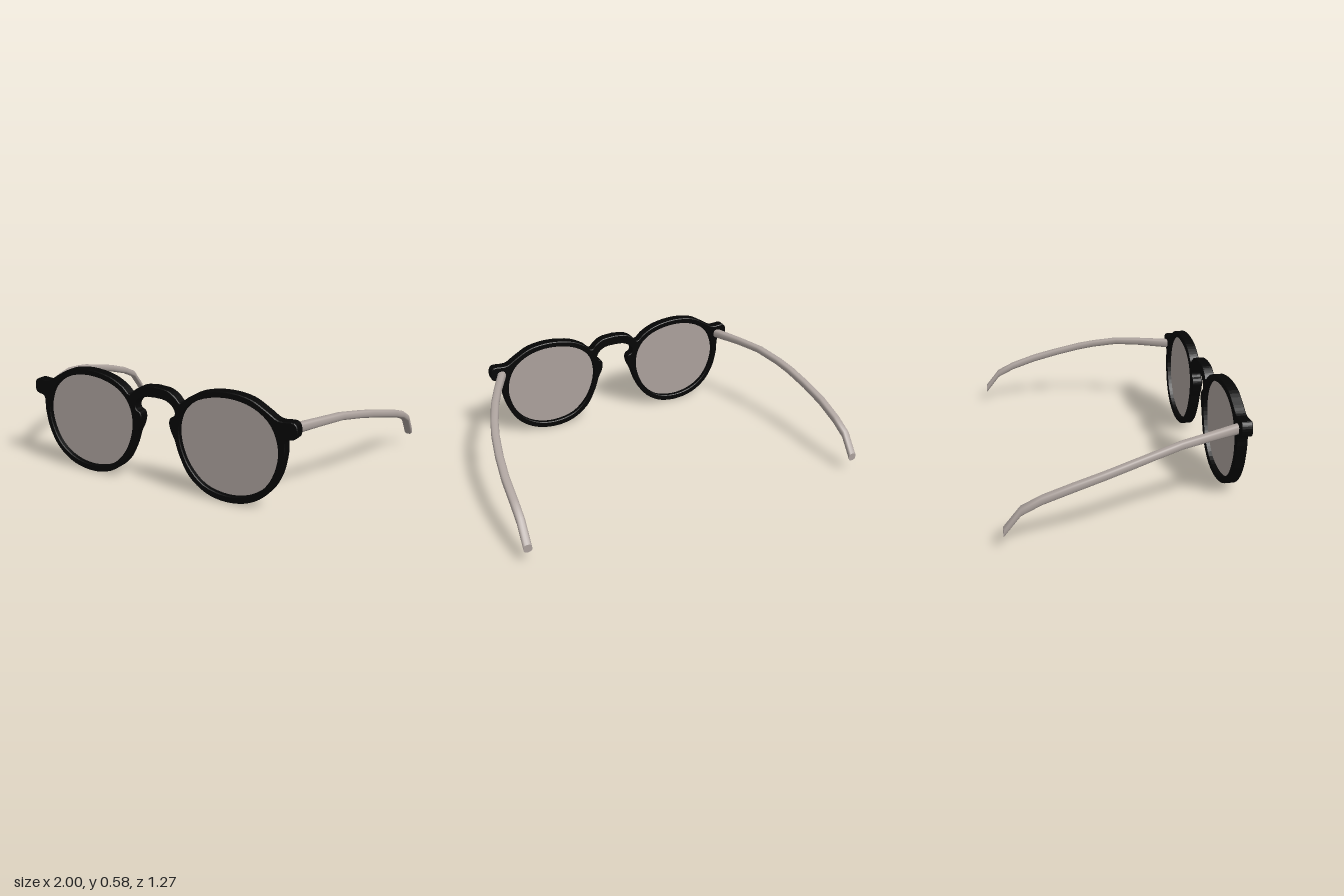
import * as THREE from 'three';

const frameMat = new THREE.MeshStandardMaterial({ color: 0x050505 });
frameMat.name = 'black frame';
const greyMat = new THREE.MeshStandardMaterial({ color: 0xaca29d });
greyMat.name = 'warm grey';

// right half of the front outline, from the bridge top round to the bridge underside
const OUTLINE = [
  [0, 0.55], [0.08, 0.54], [0.125, 0.513], [0.155, 0.485], [0.2, 0.522], [0.28, 0.563],
  [0.42, 0.585], [0.55, 0.568], [0.64, 0.52], [0.70, 0.485], [0.78, 0.485], [0.797, 0.465],
  [0.797, 0.415], [0.78, 0.402], [0.742, 0.39], [0.736, 0.31], [0.71, 0.195], [0.65, 0.095],
  [0.55, 0.026], [0.42, 0.002], [0.3, 0.026], [0.2, 0.1], [0.14, 0.21], [0.115, 0.285],
  [0.097, 0.32], [0.085, 0.365], [0.092, 0.395], [0.115, 0.41], [0.12, 0.432], [0.10, 0.465],
  [0.06, 0.487], [0, 0.492],
];

// lens opening on the +x side
const LENS = [
  [0.42, 0.038], [0.29, 0.068], [0.2, 0.155], [0.153, 0.265], [0.146, 0.36], [0.177, 0.45],
  [0.26, 0.519], [0.42, 0.553], [0.565, 0.525], [0.66, 0.45], [0.701, 0.33], [0.683, 0.215],
  [0.63, 0.122], [0.54, 0.06],
];

// smooth list of points through a profile, optionally mirrored in x
function smooth(points, closed, count, side = 1) {
  const curve = new THREE.CatmullRomCurve3(
    points.map(([x, y]) => new THREE.Vector3(x * side, y, 0)), closed, 'centripetal');
  const list = curve.getPoints(count).map((p) => new THREE.Vector2(p.x, p.y));
  if (closed) list.pop();
  return list;
}

function makeFrame() {
  const half = smooth(OUTLINE, false, 124);
  const mirrored = half.slice(1, -1).reverse().map((p) => new THREE.Vector2(-p.x, p.y));
  // counter-clockwise outline, so that the extrusion turns the holes the right way
  const shape = new THREE.Shape([...half, ...mirrored].reverse());
  for (const side of [1, -1]) shape.holes.push(new THREE.Path(smooth(LENS, true, 56, side)));
  const geo = new THREE.ExtrudeGeometry(shape, {
    depth: 0.052, bevelEnabled: true, bevelThickness: 0.004, bevelSize: 0.004,
    bevelOffset: -0.004, bevelSegments: 1,
  });
  geo.translate(0, 0, 0.579);
  const mesh = new THREE.Mesh(geo, frameMat);
  mesh.name = 'frontFrame';
  return mesh;
}

function makeLens(side) {
  // slightly oversized so the edge sits inside the rim
  const pts = smooth(LENS, true, 56, side).map((p) => new THREE.Vector2(
    side * 0.42 + (p.x - side * 0.42) * 1.03, 0.3 + (p.y - 0.3) * 1.03));
  const geo = new THREE.ExtrudeGeometry(new THREE.Shape(pts), { depth: 0.008, bevelEnabled: false });
  geo.translate(0, 0, 0.601);
  const mesh = new THREE.Mesh(geo, greyMat);
  mesh.name = side > 0 ? 'leftLens' : 'rightLens';
  return mesh;
}

// temple stations: z, centre x, centre y, half width, half height
const STATIONS = [
  [0.59, 0.73, 0.43, 0.026, 0.028], [0.4, 0.81, 0.429, 0.024, 0.023],
  [0.25, 0.867, 0.424, 0.024, 0.021], [0.1, 0.913, 0.398, 0.023, 0.021],
  [0, 0.937, 0.376, 0.023, 0.022], [-0.15, 0.961, 0.337, 0.023, 0.022],
  [-0.3, 0.975, 0.296, 0.023, 0.023], [-0.45, 0.977, 0.246, 0.023, 0.023],
  [-0.55, 0.977, 0.197, 0.023, 0.023], [-0.635, 0.977, 0.092, 0.023, 0.023],
];

function makeTemple(side) {
  const N = 16, pos = [], idx = [];
  // rounded-square section
  const soft = (v) => Math.sign(v) * Math.abs(v) ** 0.75;
  for (const [z, x, y, w, h] of STATIONS) {
    for (let i = 0; i < N; i++) {
      const a = (i / N) * Math.PI * 2;
      pos.push(side * (x + w * soft(Math.cos(a))), y + h * soft(Math.sin(a)), z);
    }
  }
  const tri = (a, b, c) => (side > 0 ? idx.push(a, b, c) : idx.push(a, c, b));
  const last = STATIONS.length - 1;
  for (let s = 0; s < last; s++) {
    for (let i = 0; i < N; i++) {
      const a = s * N + i, b = s * N + (i + 1) % N;
      tri(a, a + N, b);
      tri(b, a + N, b + N);
    }
  }
  // flat caps with their own corners, front then rear
  for (const s of [0, last]) {
    const base = pos.length / 3;
    for (let i = 0; i < N * 3; i++) pos.push(pos[s * N * 3 + i]);
    for (let i = 1; i < N - 1; i++) {
      if (s === 0) tri(base, base + i, base + i + 1);
      else tri(base, base + i + 1, base + i);
    }
  }
  const geo = new THREE.BufferGeometry();
  geo.setAttribute('position', new THREE.Float32BufferAttribute(pos, 3));
  geo.setIndex(idx);
  geo.computeVertexNormals();
  const mesh = new THREE.Mesh(geo, greyMat);
  mesh.name = side > 0 ? 'leftTemple' : 'rightTemple';
  return mesh;
}

export function createModel() {
  const group = new THREE.Group();
  group.name = 'spectacles';
  group.add(makeFrame());
  for (const side of [1, -1]) group.add(makeLens(side), makeTemple(side));
  return group;
}
